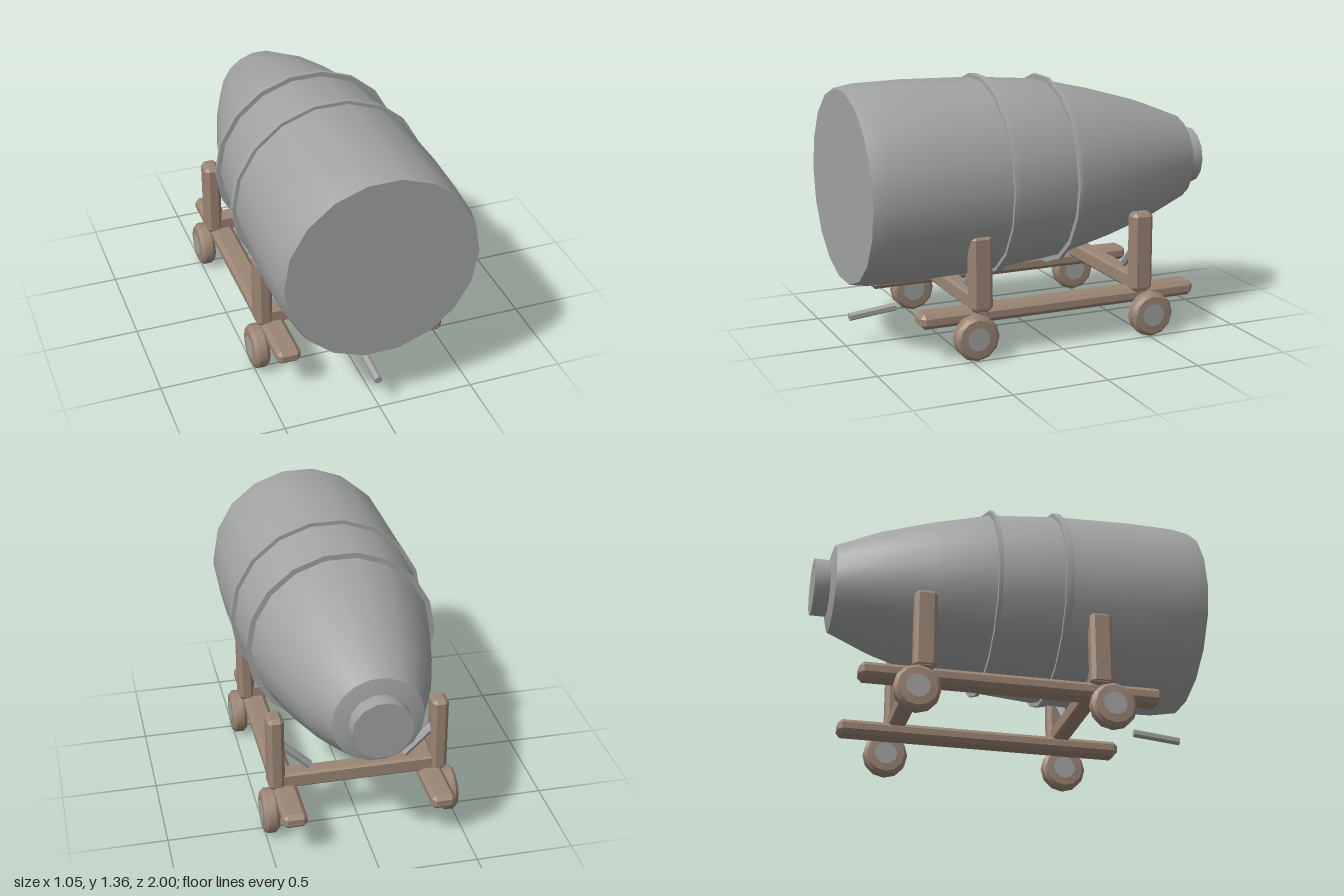
import * as THREE from 'three';
import { toCreasedNormals } from 'three/addons/utils/BufferGeometryUtils.js';
import { ConvexGeometry } from 'three/addons/geometries/ConvexGeometry.js';

const steel = new THREE.MeshStandardMaterial({ color: 0xa1a4a2 });
steel.name = 'steel grey';
const wood = new THREE.MeshStandardMaterial({ color: 0x9b8574 });
wood.name = 'wood brown';

function add(parent, name, geometry, material, x = 0, y = 0, z = 0) {
  const mesh = new THREE.Mesh(geometry, material);
  mesh.name = name;
  mesh.position.set(x, y, z);
  parent.add(mesh);
  return mesh;
}

// Box with every edge and corner chamfered by c
function chamferBox(w, h, d, c) {
  const points = [];
  for (const x of [-1, 1]) for (const y of [-1, 1]) for (const z of [-1, 1]) {
    const [a, b, e] = [w / 2 - c, h / 2 - c, d / 2 - c];
    points.push(
      new THREE.Vector3(x * (a + c), y * b, z * e),
      new THREE.Vector3(x * a, y * (b + c), z * e),
      new THREE.Vector3(x * a, y * b, z * (e + c)));
  }
  return new ConvexGeometry(points);
}

// Turned shape from [radius, position] pairs, with its axis along y
function turned(profile, sides, crease = 0.5) {
  const points = profile.map(([r, p]) => new THREE.Vector2(r, p));
  const geometry = new THREE.LatheGeometry(points, sides, Math.PI / 2);
  return toCreasedNormals(geometry, crease);
}

// Hexagonal rod between two points
function rod(parent, name, from, to, radius) {
  const dir = to.clone().sub(from);
  const geometry = new THREE.CylinderGeometry(radius, radius, dir.length(), 6);
  const mesh = add(parent, name, toCreasedNormals(geometry, 0.5), steel);
  mesh.position.copy(from).add(to).multiplyScalar(0.5);
  mesh.quaternion.setFromUnitVectors(new THREE.Vector3(0, 1, 0), dir.normalize());
}

export function createModel() {
  const model = new THREE.Group();
  model.name = 'barrelOnCart';

  // Barrel: tapered shell, neck and two hoops, lying along z
  const barrel = new THREE.Group();
  barrel.name = 'barrel';
  barrel.position.y = 0.84;
  barrel.rotation.x = Math.PI / 2;
  model.add(barrel);
  add(barrel, 'shell', turned([
    [0, -0.92], [0.152, -0.92], [0.23, -0.9], [0.325, -0.67], [0.405, -0.4], [0.476, -0.1],
    [0.507, 0.27], [0.518, 0.65], [0.513, 0.91], [0.497, 1], [0, 1]], 18), steel);
  add(barrel, 'neck', turned([[0, -1], [0.152, -1], [0.152, -0.91]], 14, 0.6), steel);
  for (const [z, r, w] of [[0.255, 0.525, 0.04], [-0.1, 0.502, 0.02]]) {
    add(barrel, 'hoop', turned([
      [0.46, z - w / 2], [r, z - w / 2], [r, z + w / 2], [0.46, z + w / 2]], 18), steel);
  }

  // Cart frame: two trestles, each a cross beam with posts and braces
  const cart = new THREE.Group();
  cart.name = 'cart';
  model.add(cart);
  for (const [z, top] of [[0.428, 0.635], [-0.473, 0.66]]) {
    add(cart, 'crossBeam', chamferBox(0.93, 0.085, 0.09, 0.012), wood, 0, 0.28, z);
    for (const side of [-1, 1]) {
      const h = top - 0.24;
      add(cart, 'post', chamferBox(0.085, h, 0.116, 0.02), wood, side * 0.428, 0.24 + h / 2, z);
      rod(cart, 'brace', new THREE.Vector3(side * 0.25, 0.34, z),
        new THREE.Vector3(side * 0.415, 0.5, z), 0.022);
    }
  }

  // Side rails and wheels
  const tyre = turned([
    [0.055, -0.043], [0.1, -0.04], [0.118, -0.022], [0.118, 0.022], [0.1, 0.04], [0.055, 0.043]],
  12, 0.7).rotateZ(Math.PI / 2);
  const hub = new THREE.CylinderGeometry(0.06, 0.06, 0.088, 12).rotateZ(Math.PI / 2);
  for (const side of [-1, 1]) {
    add(cart, 'rail', chamferBox(0.125, 0.078, 1.535, 0.022), wood, side * 0.384, 0.216, -0.022);
    for (const z of [0.47, -0.515]) {
      const wheel = new THREE.Group();
      wheel.name = 'wheel';
      wheel.position.set(side * 0.472, 0.118, z);
      cart.add(wheel);
      add(wheel, 'tyre', tyre, wood);
      add(wheel, 'hub', hub, steel);
    }
  }

  // Tow bar at the front
  rod(cart, 'towBar', new THREE.Vector3(0, 0.178, 0.73), new THREE.Vector3(0, 0.153, 0.98), 0.022);
  return model;
}
